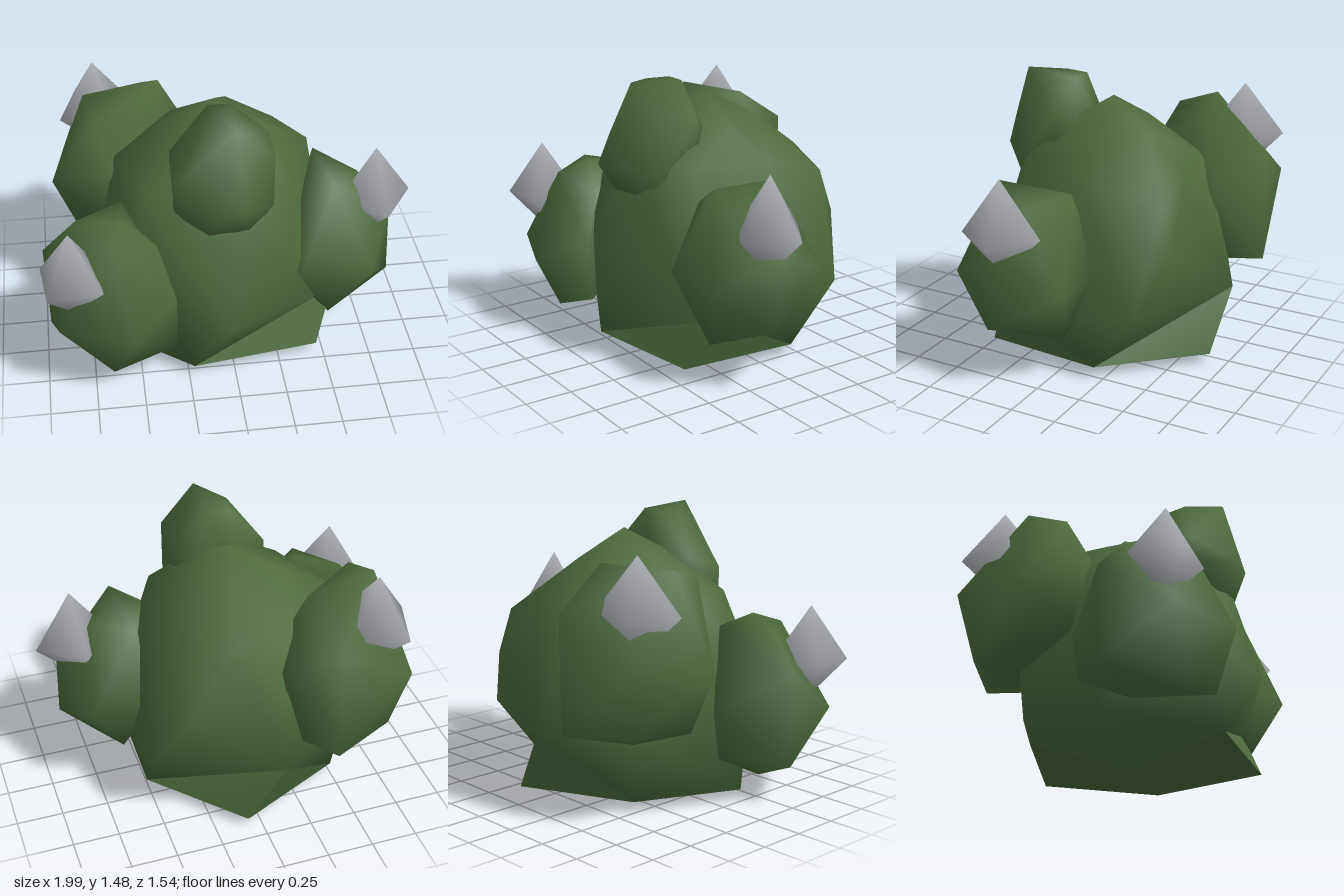
import * as THREE from 'three';
import { mergeVertices, toCreasedNormals } from 'three/addons/utils/BufferGeometryUtils.js';
import { ConvexGeometry } from 'three/addons/geometries/ConvexGeometry.js';

// Faceted lump with softened shading, from its corner points
function lump(name, points, material, crease) {
  let geo = new ConvexGeometry(points.map((p) => new THREE.Vector3(...p)));
  geo.deleteAttribute('normal');
  if (crease) {
    geo = toCreasedNormals(geo, crease);
  } else {
    geo = mergeVertices(geo, 1e-4);
    geo.computeVertexNormals();
  }
  const mesh = new THREE.Mesh(geo, material);
  mesh.name = name;
  return mesh;
}

// Pointed stone: tall four-sided tip over a shorter root sunk into a lobe
function spike(name, [x, y, z], radius, height, yaw, material) {
  const points = [[0, height, 0], [0, -radius, 0]];
  for (let i = 0; i < 4; i++) {
    const a = yaw + (i * Math.PI) / 2;
    points.push([radius * Math.cos(a), 0, -radius * Math.sin(a)]);
  }
  const mesh = lump(name, points, material);
  mesh.position.set(x, y, z);
  return mesh;
}

export function createModel() {
  const group = new THREE.Group();
  group.name = 'spikyMound';
  const green = new THREE.MeshStandardMaterial({ color: 0x4d6a3c });
  green.name = 'mossGreen';
  const grey = new THREE.MeshStandardMaterial({ color: 0xa9abaf });
  grey.name = 'stoneGrey';

  // Rim corners and underside point shared by body and foot
  const base = [-0.08, 0, -0.03];
  const rimFront = [-0.22, 0.06, 0.55];
  const rimRight = [-0.74, 0.06, 0.14];
  const rimBackRight = [-0.5, 0.06, -0.4];
  const rimBack = [0.08, 0.06, -0.67];
  const rimLeft = [0.51, 0.06, -0.2];
  const rimFrontLeft = [0.46, 0.06, 0.45];
  const hipBack = [-0.11, 0.39, -0.71];
  const hipLeft = [0.56, 0.33, 0.31];

  // Main body, ring by ring from the bottom
  group.add(lump('body', [
    base, rimFront, rimRight, rimBackRight, rimLeft, hipBack, hipLeft,
    [-0.03, 0.39, 0.68], [0.56, 0.39, -0.45], [-0.6, 0.4, 0.35], [-0.55, 0.45, -0.45],
    [0.49, 0.72, -0.05], [0.37, 0.72, -0.57], [0.32, 0.7, 0.45], [-0.2, 0.7, 0.57],
    [-0.55, 0.7, 0.4], [-0.65, 0.7, 0], [-0.5, 0.7, -0.45], [-0.15, 0.75, -0.6],
    [0.47, 1.05, -0.1], [0.35, 0.95, -0.5], [0.1, 1.05, -0.51], [-0.25, 1.05, -0.47],
    [-0.57, 1.05, -0.05], [-0.42, 1.05, 0.33], [0.05, 1.05, 0.46], [0.32, 1.05, 0.31],
    [0.22, 1.22, 0], [0.05, 1.24, -0.27], [-0.3, 1.22, -0.1], [-0.2, 1.22, 0.22],
    [0.1, 1.22, 0.22], [-0.03, 1.38, -0.03],
  ], green));

  // Flared foot under the body
  group.add(lump('foot', [
    base, rimFront, rimRight, rimBackRight, rimBack, rimLeft, rimFrontLeft, hipBack, hipLeft,
  ], green, 0.5));

  // Lobes around the body
  group.add(lump('leftLobe', [
    [0.54, 1.02, 0.33], [0.5, 1.0, -0.07], [0.71, 0.95, 0.1], [0.36, 0.9, 0.3],
    [0.45, 0.6, -0.21], [0.78, 0.56, -0.19], [0.89, 0.73, 0.15], [0.89, 0.35, 0.2],
    [0.74, 0.56, 0.48], [0.36, 0.56, 0.46], [0.29, 0.6, 0.4], [0.42, 0.35, 0.35],
    [0.54, 0.2, 0.35], [0.6, 0.24, -0.08],
  ], green));
  group.add(lump('rightLobe', [
    [-0.57, 0.94, 0.4], [-0.8, 0.9, 0.3], [-0.62, 0.88, 0.57], [-0.98, 0.7, 0.26],
    [-0.97, 0.21, 0.26], [-0.92, 0.45, 0.63], [-0.54, 0.43, 0.77], [-0.31, 0.55, 0.57],
    [-0.31, 0.22, 0.55], [-0.65, 0.09, 0.57], [-0.72, 0.1, 0.3], [-0.71, 0.5, -0.04],
    [-0.71, 0.25, 0], [-0.39, 0.8, 0.45], [-0.55, 0.9, 0.15],
  ], green));
  group.add(lump('backLobe', [
    [-0.71, 1.27, -0.33], [-0.3, 1.27, -0.44], [-0.66, 1.2, -0.12], [-0.37, 1.07, -0.77],
    [-0.79, 0.85, -0.7], [-0.13, 0.9, -0.57], [-0.2, 0.9, -0.3], [-0.57, 0.95, 0],
    [-0.91, 0.78, -0.25], [-0.8, 0.47, -0.3], [-0.72, 0.48, -0.62], [-0.38, 0.46, -0.77],
    [-0.6, 0.41, -0.5], [-0.2, 0.5, -0.6], [-0.6, 0.6, -0.05],
  ], green));
  group.add(lump('topLobe', [
    [0.01, 1.48, 0.47], [-0.12, 1.46, 0.3], [-0.1, 1.46, 0.17], [0.02, 1.46, 0.17],
    [0.21, 1.3, 0.2], [0.21, 1.3, 0.42], [-0.3, 1.22, 0.2], [-0.3, 1.15, 0.42],
    [0.21, 1.0, 0.42], [-0.3, 1.0, 0.42], [-0.1, 1.05, 0.61], [0.06, 1.06, 0.57],
    [-0.14, 0.84, 0.46], [0.08, 0.84, 0.46], [-0.09, 1.22, 0.1], [0.13, 1.22, 0.11],
    [0.21, 1.05, 0.18], [-0.3, 1.02, 0.2], [-0.04, 0.9, 0.2],
  ], green));

  // Stone spikes on the three side lobes
  group.add(spike('leftSpike', [0.79, 0.83, 0.17], 0.21, 0.3, 0.19, grey));
  group.add(spike('rightSpike', [-0.84, 0.71, 0.55], 0.2, 0.29, -0.67, grey));
  group.add(spike('backSpike', [-0.65, 1.07, -0.52], 0.22, 0.29, 0.5, grey));
  return group;
}
